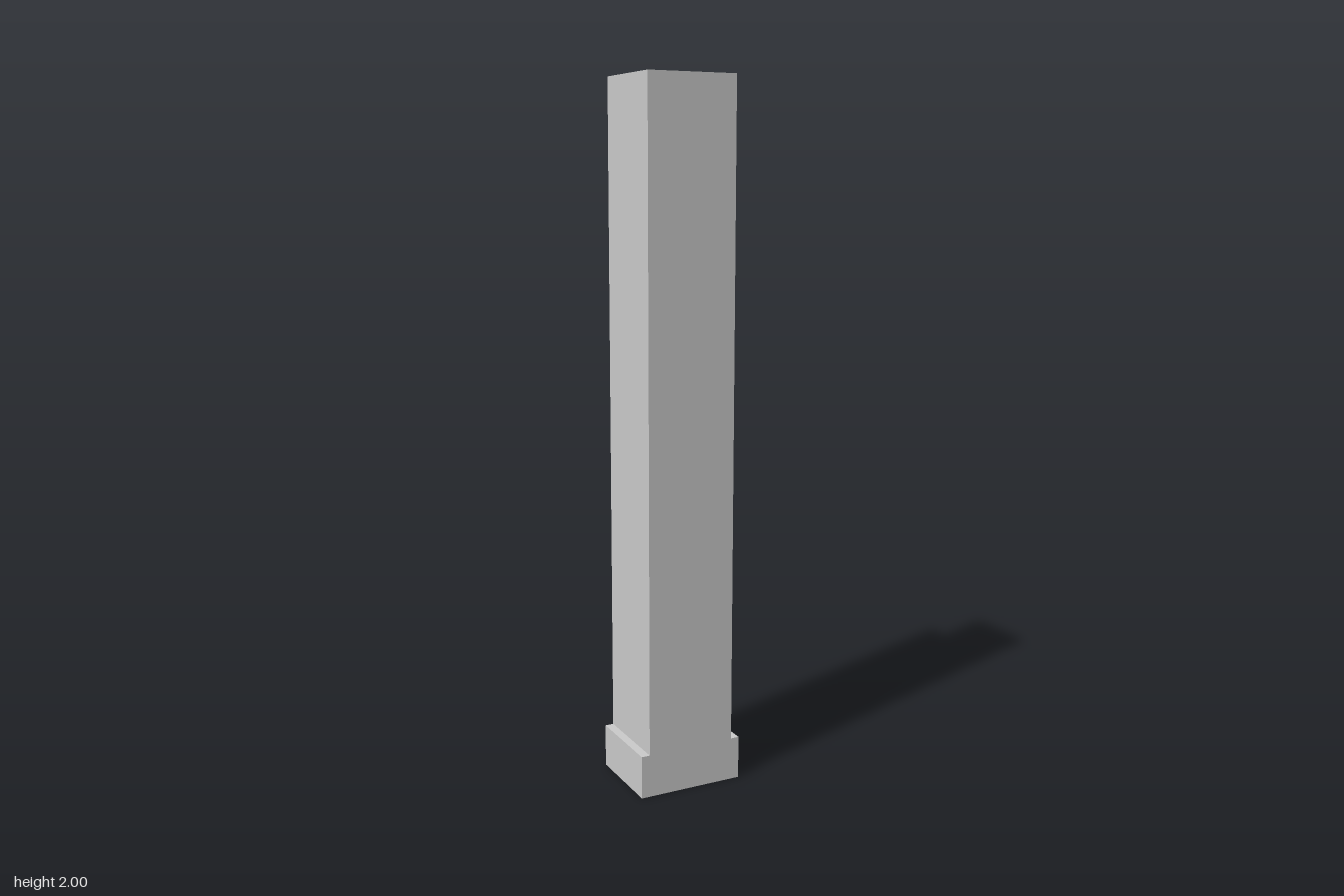
import * as THREE from 'three';

const HEIGHT = 2, BASE_HEIGHT = 0.125, DEPTH = 0.252;
const BASE_WIDTH = 0.313, POST_WIDTH = 0.263;
const GROOVE_WIDTH = 0.202, GROOVE_DEPTH = 0.078;

export function createModel() {
  const group = new THREE.Group();
  group.name = 'groovedPost';
  const material = new THREE.MeshStandardMaterial({ color: 0xcccccc, flatShading: true });

  // Plinth block, wider than the post at both sides
  const base = new THREE.Mesh(new THREE.BoxGeometry(BASE_WIDTH, BASE_HEIGHT, DEPTH), material);
  base.name = 'base';
  base.position.y = BASE_HEIGHT / 2;
  group.add(base);

  // Post: U-shaped section with the groove open to the back (shape y points to the back)
  const w = POST_WIDTH / 2, d = DEPTH / 2, g = GROOVE_WIDTH / 2, floor = d - GROOVE_DEPTH;
  const section = new THREE.Shape([
    [-w, -d], [w, -d], [w, d], [g, d], [g, floor], [-g, floor], [-g, d], [-w, d],
  ].map(([x, y]) => new THREE.Vector2(x, y)));
  const postGeometry = new THREE.ExtrudeGeometry(section, {
    depth: HEIGHT - BASE_HEIGHT, bevelEnabled: false,
  });
  postGeometry.rotateX(-Math.PI / 2);
  const post = new THREE.Mesh(postGeometry, material);
  post.name = 'post';
  post.position.y = BASE_HEIGHT;
  group.add(post);

  return group;
}
